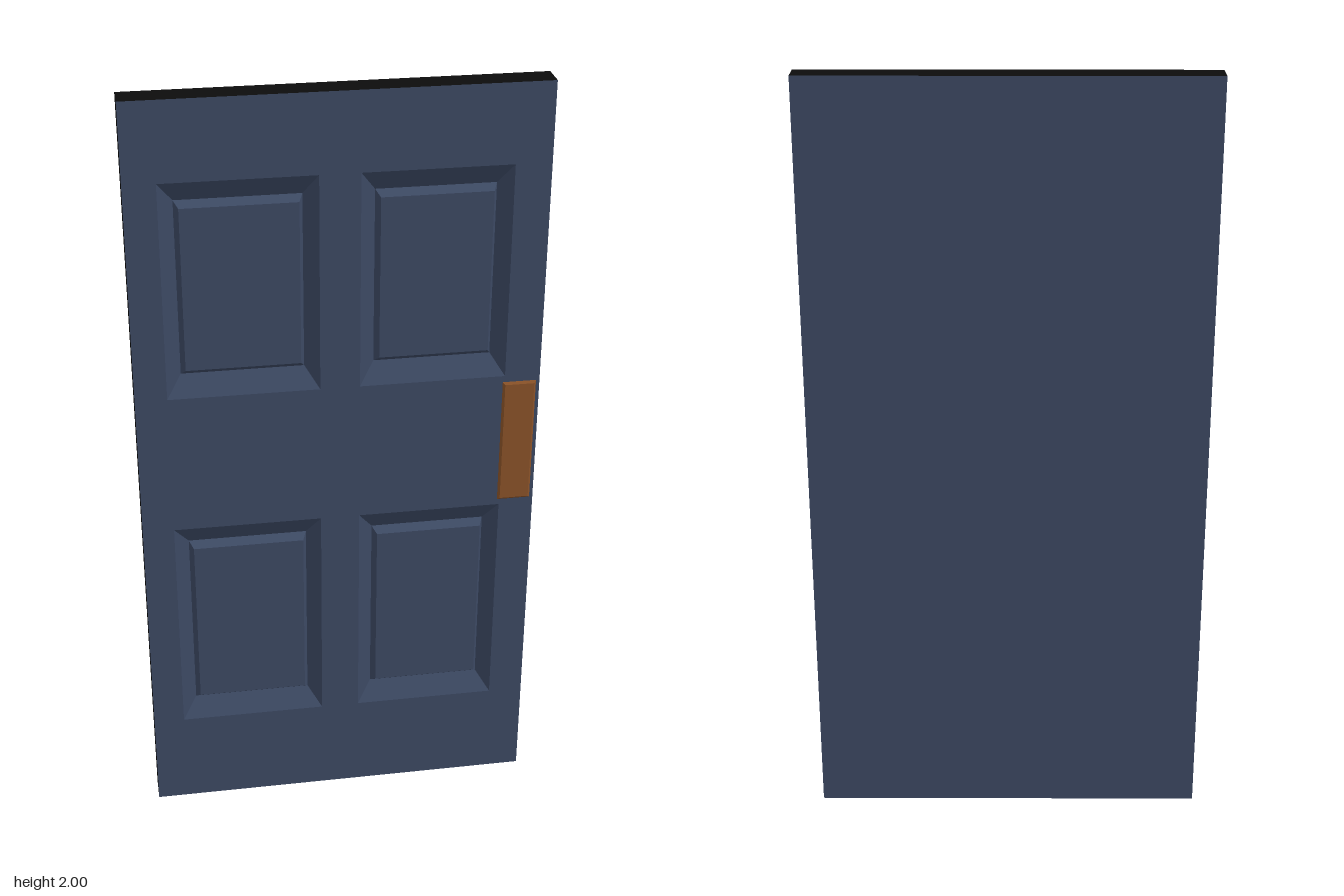
import * as THREE from 'three';

const W = 1.02, H = 2, BACK = -0.04, FRONT = 0.03, DEPTH = FRONT - BACK;

// Faceted surface through rectangular loops [x0, x1, y0, y1, z], capped on the last loop
function loft(loops) {
  const corners = loops.map(([x0, x1, y0, y1, z]) =>
    [[x0, y0, z], [x1, y0, z], [x1, y1, z], [x0, y1, z]]);
  const pos = [];
  const quad = (a, b, c, d) => pos.push(...a, ...b, ...c, ...a, ...c, ...d);
  for (let i = 0; i < corners.length - 1; i++) {
    const p = corners[i], q = corners[i + 1];
    for (let k = 0; k < 4; k++) {
      const n = (k + 1) % 4;
      quad(p[k], p[n], q[n], q[k]);
    }
  }
  quad(...corners[corners.length - 1]);
  const g = new THREE.BufferGeometry();
  g.setAttribute('position', new THREE.Float32BufferAttribute(pos, 3));
  g.computeVertexNormals();
  return g;
}

export function createModel() {
  const navy = new THREE.MeshStandardMaterial({ color: 0x3c4963 });
  navy.name = 'navyPaint';
  const black = new THREE.MeshStandardMaterial({ color: 0x0c0c0c });
  black.name = 'blackEdge';
  const brown = new THREE.MeshStandardMaterial({ color: 0x8a5228 });
  brown.name = 'brownPlate';

  const door = new THREE.Group();
  door.name = 'door';
  const add = (name, geometry, material) => {
    const mesh = new THREE.Mesh(geometry, material);
    mesh.name = name;
    door.add(mesh);
    return mesh;
  };

  // Panel openings: x0, x1, y0, y1
  const panels = [];
  for (const [x0, x1] of [[-0.43, -0.05], [0.05, 0.42]])
    for (const [y0, y1] of [[0.26, 0.865], [1.24, 1.8]]) panels.push([x0, x1, y0, y1]);

  // Front face with four openings
  const face = new THREE.Shape();
  face.moveTo(-W / 2, 0).lineTo(W / 2, 0).lineTo(W / 2, H).lineTo(-W / 2, H).closePath();
  for (const [x0, x1, y0, y1] of panels) {
    const hole = new THREE.Path();
    hole.moveTo(x0, y0).lineTo(x0, y1).lineTo(x1, y1).lineTo(x1, y0).closePath();
    face.holes.push(hole);
  }
  add('frontFace', new THREE.ShapeGeometry(face).translate(0, 0, FRONT), navy);

  // Sunken bevel, then a raised field inside each opening
  for (const [x0, x1, y0, y1] of panels) {
    add('panel', loft([
      [x0, x1, y0, y1, FRONT],
      [x0 + 0.038, x1 - 0.036, y0 + 0.055, y1 - 0.053, 0],
      [x0 + 0.049, x1 - 0.046, y0 + 0.072, y1 - 0.067, 0.022],
    ]), navy);
  }

  // Back and edges
  const mid = (FRONT + BACK) / 2;
  add('backFace', new THREE.PlaneGeometry(W, H).rotateY(Math.PI).translate(0, H / 2, BACK), navy);
  add('bottomEdge', new THREE.PlaneGeometry(W, DEPTH).rotateX(Math.PI / 2).translate(0, 0, mid), navy);
  add('topEdge', new THREE.PlaneGeometry(W, DEPTH).rotateX(-Math.PI / 2).translate(0, H, mid), black);
  for (const [name, s] of [['leftEdge', 1], ['rightEdge', -1]])
    add(name, new THREE.PlaneGeometry(DEPTH, H).rotateY(s * Math.PI / 2)
      .translate(s * W / 2, H / 2, mid), black);

  // Push plate with chamfered rim
  add('pushPlate', loft([
    [0.415, 0.5, 0.883, 1.223, FRONT],
    [0.415, 0.5, 0.883, 1.223, 0.034],
    [0.42, 0.495, 0.888, 1.218, 0.038],
  ]), brown);

  return door;
}
